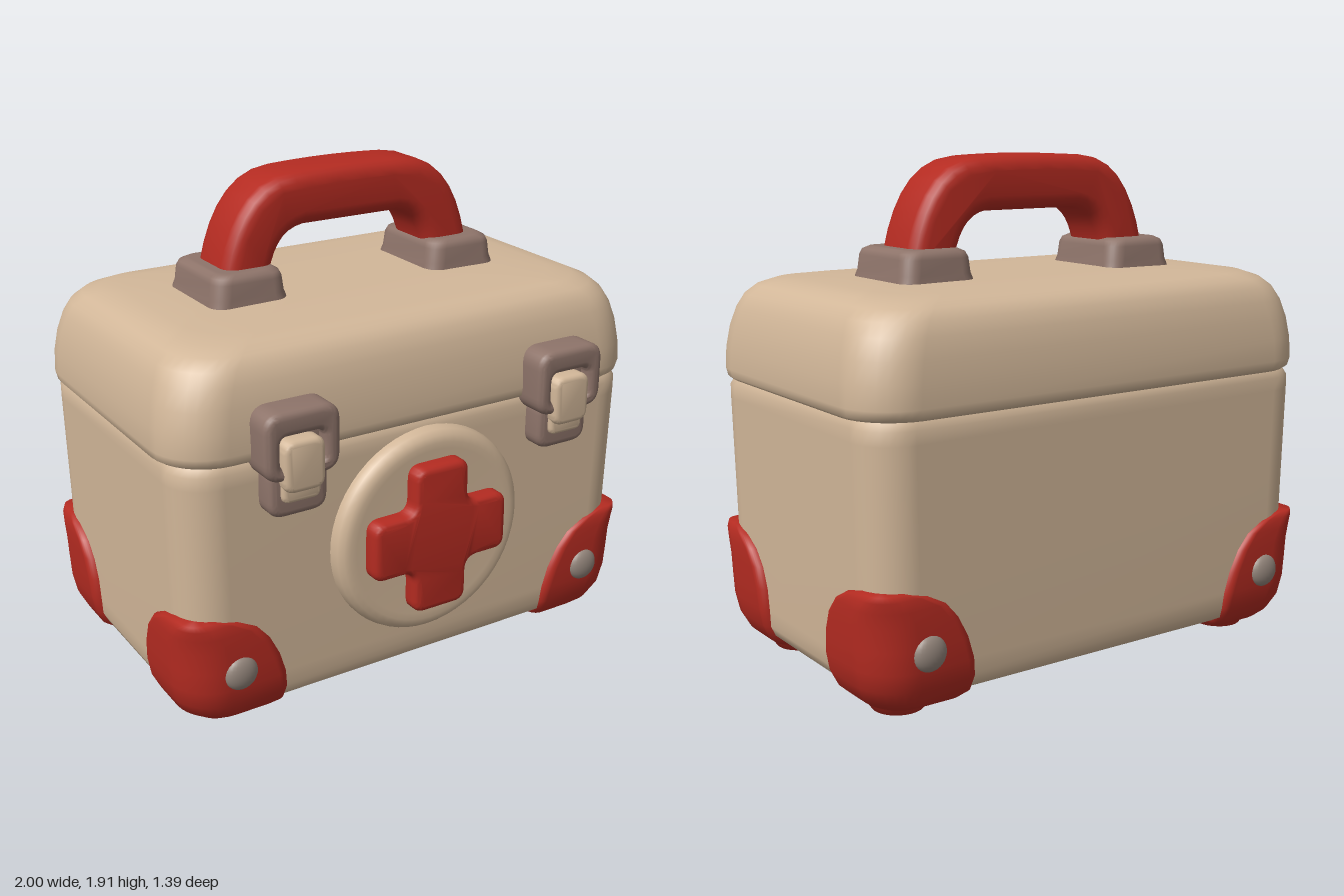
import * as THREE from 'three';
import { toCreasedNormals } from 'three/addons/utils/BufferGeometryUtils.js';

const mat = (name, color) => {
  const m = new THREE.MeshStandardMaterial({ color });
  m.name = name;
  return m;
};

// Smooth skin over stacked rounded rectangles: [y, x0, x1, z0, z1], one radius per corner
function loft(layers, radii) {
  const pos = [], idx = [], steps = 8, n = 4 * (steps + 1);
  const quads = [[1, 1], [-1, 1], [-1, -1], [1, -1]];
  for (const [y, x0, x1, z0, z1] of layers) {
    const cx = (x0 + x1) / 2, cz = (z0 + z1) / 2, hx = (x1 - x0) / 2, hz = (z1 - z0) / 2;
    quads.forEach(([sx, sz], q) => {
      const r = Math.min(radii[q], hx * 0.95, hz * 0.95);
      for (let i = 0; i <= steps; i++) {
        const a = (q + i / steps) * Math.PI / 2;
        pos.push(cx + sx * (hx - r) + r * Math.cos(a), y, cz + sz * (hz - r) + r * Math.sin(a));
      }
    });
  }
  for (let l = 0; l < layers.length - 1; l++) {
    for (let i = 0; i < n; i++) {
      const a = l * n + i, b = l * n + (i + 1) % n;
      idx.push(a, a + n, b, b, a + n, b + n);
    }
  }
  // End caps
  const cap = ([y, x0, x1, z0, z1], start, up) => {
    const c = pos.length / 3;
    pos.push((x0 + x1) / 2, y, (z0 + z1) / 2);
    for (let i = 0; i < n; i++) {
      const a = start + i, b = start + (i + 1) % n;
      if (up) idx.push(c, b, a); else idx.push(c, a, b);
    }
  };
  cap(layers[0], 0, false);
  cap(layers[layers.length - 1], (layers.length - 1) * n, true);
  const g = new THREE.BufferGeometry();
  g.setAttribute('position', new THREE.Float32BufferAttribute(pos, 3));
  g.setIndex(idx);
  g.computeVertexNormals();
  return g;
}

// Outline with rounded corners
function rounded(pts, r, target = new THREE.Shape()) {
  const v = pts.map(p => new THREE.Vector2(...p));
  v.forEach((p, i) => {
    const prev = v[(i + v.length - 1) % v.length], next = v[(i + 1) % v.length];
    const a = p.clone().add(prev.clone().sub(p).setLength(r));
    const b = p.clone().add(next.clone().sub(p).setLength(r));
    if (i) target.lineTo(a.x, a.y); else target.moveTo(a.x, a.y);
    target.quadraticCurveTo(p.x, p.y, b.x, b.y);
  });
  target.closePath();
  return target;
}
const rect = (x0, x1, y0, y1) => [[x0, y0], [x1, y0], [x1, y1], [x0, y1]];

// Shape thickened from z0 to z1 with soft edges
function slab(shape, z0, z1, bevel) {
  const g = new THREE.ExtrudeGeometry(shape, {
    depth: z1 - z0 - 2 * bevel, bevelThickness: bevel, bevelSize: bevel,
    bevelOffset: -bevel, bevelSegments: 4, curveSegments: 8,
  });
  g.translate(0, 0, z0 + bevel);
  return toCreasedNormals(g, 0.75);
}

export function createModel() {
  const model = new THREE.Group();
  model.name = 'firstAidCase';
  const beige = mat('beige', 0xd2b799), red = mat('red', 0xb42b21);
  const taupe = mat('taupe', 0x8e746a), steel = mat('rivetGrey', 0x93857b);
  const add = (name, geometry, material) => {
    const m = new THREE.Mesh(geometry, material);
    m.name = name;
    model.add(m);
    return m;
  };
  const Z = -0.045; // centre of the case in depth
  const same = r => [r, r, r, r];
  const box = ([y, hx, hz]) => [y, -hx, hx, Z - hz, Z + hz];

  // Case body and lid
  add('body', loft([
    [0.085, 0.85, 0.5], [0.09, 0.9, 0.545], [0.11, 0.935, 0.58], [0.15, 0.955, 0.595],
    [0.22, 0.96, 0.6], [0.6, 0.967, 0.604], [1.0, 0.975, 0.608], [1.05, 0.975, 0.608],
    [1.08, 0.96, 0.595], [1.1, 0.94, 0.575],
  ].map(box), same(0.16)), beige);
  add('lid', loft([
    [1.075, 0.95, 0.58], [1.078, 0.98, 0.603], [1.09, 0.994, 0.616], [1.12, 1.0, 0.622],
    [1.2, 0.996, 0.618], [1.28, 0.983, 0.608], [1.35, 0.962, 0.592], [1.4, 0.937, 0.57],
    [1.435, 0.9, 0.54], [1.457, 0.85, 0.49], [1.467, 0.78, 0.42], [1.473, 0.66, 0.3], [1.478, 0.4, 0.15],
  ].map(box), same(0.2)), beige);

  // Corner guards with feet and rivets
  const guard = [
    [0.045, 0.64, 0.88, 0.24, 0.47], [0.06, 0.6, 0.91, 0.21, 0.5], [0.09, 0.575, 0.945, 0.195, 0.535],
    [0.15, 0.575, 0.975, 0.19, 0.565], [0.22, 0.585, 0.988, 0.19, 0.575], [0.3, 0.61, 0.992, 0.2, 0.578],
    [0.38, 0.65, 0.994, 0.23, 0.578], [0.44, 0.7, 0.994, 0.28, 0.576], [0.48, 0.77, 0.988, 0.35, 0.57],
    [0.5, 0.85, 0.972, 0.42, 0.555],
  ];
  const footProfile = [[0, 0], [0.07, 0], [0.095, 0.008], [0.11, 0.03], [0.125, 0.05], [0.15, 0.07]]
    .map(p => new THREE.Vector2(...p));
  [[1, 1], [-1, 1], [-1, -1], [1, -1]].forEach(([sx, sz], q) => {
    const side = (sz > 0 ? 'Front' : 'Back') + (sx > 0 ? 'Left' : 'Right');
    const fz = z => (sz > 0 ? z : 2 * Z - z);
    const layers = guard.map(([y, x0, x1, z0, z1]) => [
      y, ...[sx * x0, sx * x1].sort((a, b) => a - b), ...[fz(z0), fz(z1)].sort((a, b) => a - b),
    ]);
    const radii = same(0.04);
    radii[q] = 0.17;
    add('cornerGuard' + side, loft(layers, radii), red);
    add('foot' + side, new THREE.LatheGeometry(footProfile, 28), red).position.set(sx * 0.765, 0, fz(0.33));
    const rivet = new THREE.SphereGeometry(0.065, 24, 14).scale(1, 1, 0.5);
    add('rivet' + side, rivet, steel).position.set(sx * 0.78, 0.28, fz(0.572));
  });

  // Round badge with raised cross
  const discProfile = [[0.404, 0.53], [0.404, 0.575], [0.397, 0.598], [0.38, 0.616], [0.355, 0.623],
    [0.33, 0.621], [0.2, 0.619], [0, 0.619]].map(p => new THREE.Vector2(...p));
  add('badgeDisc', new THREE.LatheGeometry(discProfile, 56).rotateX(Math.PI / 2), beige).position.y = 0.652;
  const w = 0.115, L = 0.29;
  const cross = [[-w, -L], [w, -L], [w, -w], [L, -w], [L, w], [w, w], [w, L], [-w, L], [-w, w], [-L, w], [-L, -w], [-w, -w]];
  add('cross', slab(rounded(cross, 0.05), 0.59, 0.685, 0.025), red).position.y = 0.655;

  // Latches
  for (const s of [1, -1]) {
    const x = s * 0.573, side = s > 0 ? 'Left' : 'Right';
    const part = (name, geometry, material) => { add(name + side, geometry, material).position.x = x; };
    const frame = rounded(rect(-0.147, 0.147, 1.03, 1.28), 0.07);
    frame.holes.push(rounded(rect(-0.085, 0.085, 1.07, 1.19), 0.03, new THREE.Path()));
    part('latchFrame', slab(frame, 0.53, 0.68, 0.025), taupe);
    part('latchBack', slab(rounded(rect(-0.11, 0.11, 1.05, 1.24), 0.03), 0.53, 0.63, 0.01), taupe);
    part('latchCatch', slab(rounded(rect(-0.115, 0.115, 0.88, 1.08), 0.06), 0.53, 0.645, 0.025), taupe);
    part('latchTongue', slab(rounded(rect(-0.08, 0.08, 0.985, 1.175), 0.045), 0.6, 0.692, 0.02), beige);
    part('latchTongueTip', slab(rounded(rect(-0.075, 0.075, 0.94, 1.04), 0.03), 0.6, 0.665, 0.015), beige);

    // Handle mount
    const mount = [[1.45, 0.158, 0.205], [1.475, 0.156, 0.203], [1.5, 0.148, 0.197], [1.555, 0.142, 0.192],
      [1.575, 0.134, 0.184], [1.586, 0.115, 0.165], [1.587, 0.1, 0.15]];
    part('handleMount', loft(mount.map(([y, hx, hz]) => [y, -hx, hx, -0.065 - hz, -0.065 + hz]), same(0.06)), taupe);
    model.children[model.children.length - 1].position.x = s * 0.463;
  }

  // Carrying handle
  const grip = new THREE.Shape();
  grip.moveTo(-0.55, 1.5);
  grip.bezierCurveTo(-0.52, 1.7, -0.44, 1.9, -0.24, 1.908);
  grip.quadraticCurveTo(0, 1.922, 0.24, 1.908);
  grip.bezierCurveTo(0.44, 1.9, 0.52, 1.7, 0.55, 1.5);
  grip.lineTo(0.35, 1.5);
  grip.bezierCurveTo(0.33, 1.63, 0.29, 1.7, 0.2, 1.71);
  grip.lineTo(-0.2, 1.71);
  grip.bezierCurveTo(-0.29, 1.7, -0.33, 1.63, -0.35, 1.5);
  grip.closePath();
  add('handle', slab(grip, -0.193, 0.064, 0.055), red);

  return model;
}
